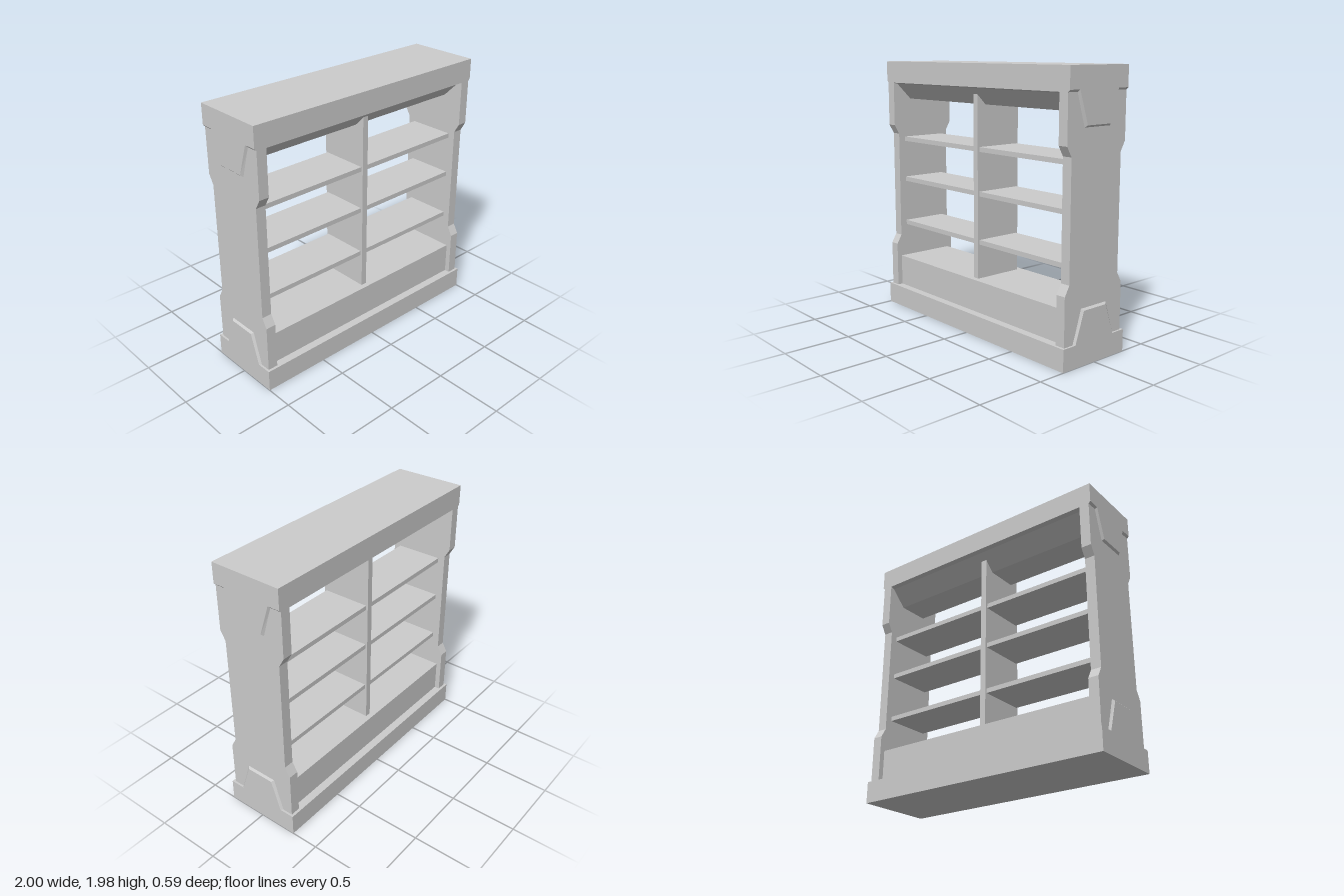
import * as THREE from 'three';

const material = new THREE.MeshStandardMaterial({ color: 0xcccccc, flatShading: true });

function add(parent, name, geometry) {
  const mesh = new THREE.Mesh(geometry, material);
  mesh.name = name;
  parent.add(mesh);
  return mesh;
}

// Box given by its lower and upper limits on each axis
function box(x0, x1, y0, y1, z0, z1) {
  return new THREE.BoxGeometry(x1 - x0, y1 - y0, z1 - z0)
    .translate((x0 + x1) / 2, (y0 + y1) / 2, (z0 + z1) / 2);
}

// Half outline [z, y] from bottom to top, mirrored in z and extruded along x
function mirroredProfile(half, x0, x1) {
  const points = [...half, ...half.map(([z, y]) => [-z, y]).reverse()];
  const shape = new THREE.Shape(points.map(([z, y]) => new THREE.Vector2(z, y)));
  return new THREE.ExtrudeGeometry(shape, { depth: x1 - x0, bevelEnabled: false })
    .rotateY(Math.PI / 2).translate(x0, 0, 0);
}

// Raised trapezoid whose outer face shrinks to leave sloping edges
function plate(rootY, tipY) {
  const inset = 0.018;
  const half = [[0.2, rootY], [0.125, tipY]];
  if (tipY < rootY) half.reverse();
  const geometry = mirroredProfile(half, 0.98, 1);
  const p = geometry.attributes.position;
  for (let i = 0; i < p.count; i++) {
    if (p.getX(i) < 0.99) continue;
    p.setZ(i, p.getZ(i) - Math.sign(p.getZ(i)) * inset);
    if (Math.abs(p.getY(i) - tipY) < 1e-4) p.setY(i, tipY + Math.sign(rootY - tipY) * inset);
  }
  geometry.computeVertexNormals();
  return geometry;
}

// Side panel with wide ends, its two plates and the sloped end lip of the cap
function createSide(name) {
  const side = new THREE.Group();
  side.name = name;
  add(side, 'sidePanel', mirroredProfile([
    [0.275, 0.15], [0.275, 0.505], [0.235, 0.575],
    [0.235, 1.405], [0.275, 1.475], [0.275, 1.825],
  ], 0.91, 0.985));
  add(side, 'lowerPlate', plate(0.16, 0.4));
  add(side, 'upperPlate', plate(1.825, 1.58));
  const lip = new THREE.Shape([[0.985, 1.81], [1, 1.825], [0.985, 1.825]]
    .map(([x, y]) => new THREE.Vector2(x, y)));
  add(side, 'capEndLip', new THREE.ExtrudeGeometry(lip, { depth: 0.55, bevelEnabled: false })
    .translate(0, 0, -0.275));
  return side;
}

export function createModel() {
  const model = new THREE.Group();
  model.name = 'doubleSidedShelf';

  // Base and top
  add(model, 'plinth', box(-1, 1, 0, 0.16, -0.295, 0.295));
  add(model, 'baseDeck', box(-0.93, 0.93, 0.15, 0.4, -0.235, 0.235));
  add(model, 'topCap', box(-1, 1, 1.825, 1.975, -0.275, 0.275));
  add(model, 'header', mirroredProfile([
    [0.12, 1.68], [0.24, 1.8], [0.275, 1.81], [0.275, 1.825],
  ], -0.95, 0.95));

  // Matching sides
  model.add(createSide('leftSide'));
  const right = createSide('rightSide');
  right.rotation.y = Math.PI;
  model.add(right);

  // Middle divider and shelves in both bays
  add(model, 'divider', box(-0.023, 0.023, 0.39, 1.765, -0.195, 0.195));
  for (const top of [0.692, 1.052, 1.378]) {
    add(model, 'rightShelf', box(-0.92, -0.02, top - 0.035, top, -0.18, 0.18));
    add(model, 'leftShelf', box(0.02, 0.92, top - 0.035, top, -0.18, 0.18));
  }
  return model;
}
